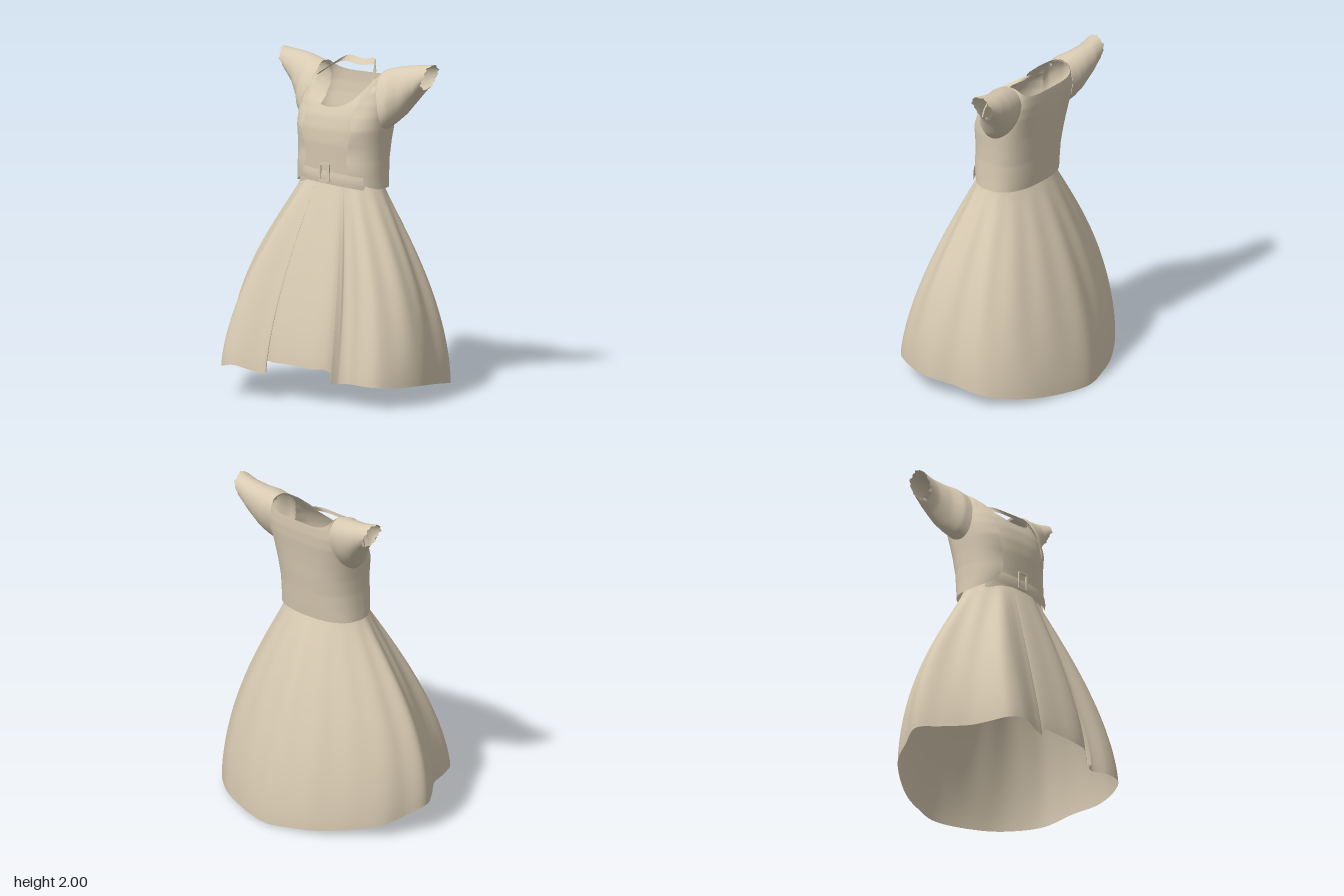
import * as THREE from 'three';

const CX = 0.045; // centre line of the body
const { lerp, clamp, smoothstep } = THREE.MathUtils;

// Smooth-shaded sheet from a rule (u, v) -> [x, y, z]; closed sheets wrap around in u,
// and corners inside an optional opening are left out
function sheet(nu, nv, rule, closed = false, opening = () => false) {
  const cols = closed ? nu : nu + 1, pos = [], idx = [], cut = [];
  for (let j = 0; j <= nv; j++)
    for (let i = 0; i < cols; i++) {
      const p = rule(i / nu, j / nv);
      pos.push(...p);
      cut.push(opening(p));
    }
  for (let j = 0; j < nv; j++)
    for (let i = 0; i < nu; i++) {
      const k = (i + 1) % cols;
      const a = j * cols + i, b = j * cols + k, c = a + cols, d = (j + 1) * cols + k;
      if (cut[a] && cut[b] && cut[c] && cut[d]) continue;
      idx.push(a, c, b, b, c, d);
    }
  const g = new THREE.BufferGeometry();
  g.setAttribute('position', new THREE.Float32BufferAttribute(pos, 3));
  g.setIndex(idx);
  g.computeVertexNormals();
  return g;
}

// Interpolates a table of [key, ...values] rows
function table(rows, key) {
  let i = 0;
  while (i < rows.length - 2 && key > rows[i + 1][0]) i++;
  const a = rows[i], b = rows[i + 1];
  const t = clamp((key - a[0]) / (b[0] - a[0]), 0, 1);
  return a.slice(1).map((n, k) => lerp(n, b[k + 1], t));
}

// Torso cross-sections: height, half width, front z, back z, roundness of the back
const TORSO = [
  [1.24, 0.28, 0.15, -0.195, 0.8], [1.32, 0.275, 0.155, -0.205, 0.8], [1.42, 0.272, 0.16, -0.215, 0.78],
  [1.52, 0.275, 0.165, -0.228, 0.72], [1.6, 0.28, 0.16, -0.236, 0.65], [1.68, 0.282, 0.14, -0.246, 0.57],
  [1.75, 0.28, 0.105, -0.256, 0.5], [1.82, 0.27, 0.05, -0.262, 0.46], [1.88, 0.25, 0, -0.262, 0.45],
  [1.95, 0.225, -0.08, -0.255, 0.45],
];
const FRONT_POWER = 0.8;
const bend = (n, power) => Math.sign(n) * Math.abs(n) ** power;

function torso(a, y, out = 0) {
  const [w, f, b, backPower] = table(TORSO, y);
  const power = Math.sin(a) > 0 ? FRONT_POWER : backPower;
  return [
    CX + (w + out) * bend(Math.cos(a), power), y,
    (f + b) / 2 + ((f - b) / 2 + out) * bend(Math.sin(a), power),
  ];
}
// Half width of the torso at a height and depth
function torsoSide(y, z, out) {
  const [w, f, b, backPower] = table(TORSO, y);
  const r = (z - (f + b) / 2) / ((f - b) / 2 + out);
  const power = r > 0 ? FRONT_POWER : backPower;
  const s = Math.min(1, Math.abs(r)) ** (1 / power);
  return (w + out) * Math.sqrt(1 - s * s) ** power;
}
function neckHeight(a) {
  const s = Math.sin(a);
  return s > 0 ? 1.945 - 0.21 * s ** 2.8 : 1.945 - 0.06 * Math.abs(s) ** 1.5;
}

// Hem outline: x, height, z, from the left side round the front, right and back
const HEM = [
  [0.73, 0.115, 0.12], [0.68, 0.12, 0.3], [0.6, 0.13, 0.42], [0.5, 0.135, 0.44], [0.39, 0.13, 0.41],
  [0.34, 0.13, 0.43], [0.31, 0.13, 0.48], [0.325, 0.15, 0.43], [0.27, 0.21, 0.465],
  [0.18, 0.21, 0.49], [0.04, 0.22, 0.49], [-0.1, 0.22, 0.485], [-0.16, 0.22, 0.47],
  [-0.14, 0.16, 0.51], [-0.2, 0.16, 0.525], [-0.35, 0.19, 0.555], [-0.45, 0.17, 0.53],
  [-0.5, 0.16, 0.42], [-0.54, 0.16, 0.3], [-0.65, 0.16, 0.16], [-0.73, 0.165, 0.03],
  [-0.68, 0.12, -0.1], [-0.62, 0.08, -0.22], [-0.5, 0.05, -0.33], [-0.3, 0.02, -0.46],
  [-0.15, 0.01, -0.52], [0.03, 0, -0.56], [0.3, 0.015, -0.505], [0.5, 0.04, -0.42],
  [0.66, 0.07, -0.26], [0.69, 0.095, -0.05],
];

function skirtGeometry() {
  const hem = new THREE.CatmullRomCurve3(HEM.map((p) => new THREE.Vector3(...p)), true, 'centripetal');
  return sheet(310, 40, (u, v) => {
    const p = hem.getPoint(u);
    const a = Math.atan2((p.z + 0.02) / 0.53, (p.x - CX) / 0.7);
    const s = Math.sin(a), c = Math.cos(a);
    // the skirt bells out sideways, and falls straighter to the front and back
    const flareX = 1 - (1 - v ** 1.15) ** 2;
    const flareZ = 1 - (1 - v) ** lerp(1.6, 1.28, smoothstep(s, -0.5, 0.5));
    const depth = s > 0.9 ? 0.002 : lerp(0.006, 0.01, smoothstep(s, -0.5, 0.3));
    const pleat = depth * Math.sin(15 * a + 1) * Math.sin(Math.PI * v) * (1 - 0.4 * v);
    return [
      lerp(CX + 0.275 * c, p.x, flareX) + pleat * c,
      Math.max(0, lerp(1.27 + 0.035 * s, p.y, v)),
      lerp(-0.02 + 0.168 * s, p.z, flareZ) + pleat * s,
    ];
  }, true);
}

// Armhole in side view: an upright oval leaning back at the top
const ARM = { y: 1.773, high: 0.172, z: -0.115, deep: 0.125, lean: 0.05 };
function insideArmhole([, y, z]) {
  const h = (y - ARM.y) / ARM.high;
  const d = (z - ARM.z + ARM.lean * h) / ARM.deep;
  return h * h + d * d < 0.92;
}

// Short jacket: wraps round the back between two wavy front edges
const EDGE = [[0, 0.21], [0.08, 0.165], [0.2, 0.15], [0.4, 0.16], [0.55, 0.175], [0.68, 0.165], [0.8, 0.175], [1, 0.185]];
function jacketGeometry() {
  return sheet(160, 60, (u, v) => {
    const edge = Math.acos((table(EDGE, v)[0] / 0.285) ** (1 / FRONT_POWER));
    const a = lerp(edge, -Math.PI - edge, u);
    const y = lerp(1.245 + 0.08 * Math.max(0, Math.sin(a)) ** 2, neckHeight(a), v);
    const roll = 0.005 * Math.sin(v * 14) * Math.max(0, Math.sin(a));
    return torso(a, y, 0.012 + roll);
  }, false, (p) => Math.abs(p[0] - CX) > 0.1 && insideArmhole(p));
}

// Front panel showing between the jacket edges
function panelGeometry() {
  return sheet(50, 30, (u, v) => {
    const a = lerp(0.6, Math.PI - 0.6, u);
    return torso(a, lerp(1.24, neckHeight(a) - 0.005, v));
  });
}

// Sleeve rings beyond the armhole: share of length, top, bottom, front z, back z
const SLEEVE = [
  [0, 1.947, 1.6, 0.01, -0.24], [0.2, 1.962, 1.635, -0.002, -0.258], [0.4, 1.973, 1.68, -0.05, -0.266],
  [0.7, 1.985, 1.765, -0.092, -0.268], [1, 1.998, 1.84, -0.105, -0.255],
];
function sleeveGeometry(side) {
  return sheet(60, 24, (u, v) => {
    const a = u * Math.PI * 2, s = Math.sin(a), c = Math.cos(a);
    const [top, bottom, f, b] = table(SLEEVE, v);
    const root = torsoSide(ARM.y + ARM.high * s, ARM.z - ARM.lean * s + ARM.deep * c, 0.014);
    const ragged = v > 0.97 ? 0.012 * Math.sin(9 * a) * Math.sin(4 * a + 1) : 0;
    const tip = 0.52 + 0.03 * s + ragged;
    return [
      CX + side * lerp(root, tip, v),
      (top + bottom) / 2 + ((top - bottom) / 2) * s,
      (f + b) / 2 - ARM.lean * s * (1 - v) + ((f - b) / 2) * c,
    ];
  }, true);
}

// Halter strap round the back of the neck
function strapGeometry() {
  const half = [[0.19, 1.8, 0.04], [0.225, 1.86, -0.02], [0.18, 1.91, -0.09], [0.13, 1.96, -0.17], [0.1, 1.97, -0.2]];
  const pts = [
    ...half.map(([x, y, z]) => new THREE.Vector3(CX - x, y, z)),
    new THREE.Vector3(CX, 1.955, -0.215),
    ...half.slice().reverse().map(([x, y, z]) => new THREE.Vector3(CX + x, y, z)),
  ];
  const path = new THREE.CatmullRomCurve3(pts);
  return sheet(60, 2, (u, v) => {
    const p = path.getPoint(u), w = v - 0.5, back = Math.sin(Math.PI * u);
    return [p.x + Math.cos(Math.PI * u) * w * 0.045, p.y + w * 0.035, p.z - w * 0.03 * back];
  });
}

// Belt drooping to its loose end on the left
function beltGeometry() {
  return sheet(50, 4, (u, v) => {
    const a = lerp(Math.PI - 0.75, 0.66, u);
    const y = lerp(1.335, 1.285, u) + (v - 0.5) * 0.075;
    const p = torso(a, 1.34, 0.005 + 0.004 * Math.sin(Math.PI * v) + 0.016 * u * u);
    return [p[0], y, p[2]];
  });
}

function roundedRect(shape, w, h, r) {
  const x = w / 2, y = h / 2;
  shape.moveTo(-x + r, -y).lineTo(x - r, -y).quadraticCurveTo(x, -y, x, -y + r);
  shape.lineTo(x, y - r).quadraticCurveTo(x, y, x - r, y).lineTo(-x + r, y);
  return shape.quadraticCurveTo(-x, y, -x, y - r).lineTo(-x, -y + r).quadraticCurveTo(-x, -y, -x + r, -y);
}
function buckleGeometry() {
  const frame = roundedRect(new THREE.Shape(), 0.075, 0.118, 0.016);
  frame.holes.push(roundedRect(new THREE.Path(), 0.049, 0.09, 0.01));
  return new THREE.ExtrudeGeometry(frame, { depth: 0.01, bevelEnabled: false, curveSegments: 6 });
}

export function createModel() {
  const cloth = new THREE.MeshStandardMaterial({ color: 0xd8cab2 });
  cloth.name = 'beige cloth';
  cloth.side = THREE.DoubleSide;
  const dress = new THREE.Group();
  dress.name = 'dress';
  const add = (name, geometry) => {
    const mesh = new THREE.Mesh(geometry, cloth);
    mesh.name = name;
    dress.add(mesh);
    return mesh;
  };
  add('skirt', skirtGeometry());
  add('jacket', jacketGeometry());
  add('frontPanel', panelGeometry());
  add('leftSleeve', sleeveGeometry(1));
  add('rightSleeve', sleeveGeometry(-1));
  add('neckStrap', strapGeometry());
  add('belt', beltGeometry());
  add('buckle', buckleGeometry()).position.set(CX, 1.34, 0.164);
  return dress;
}
